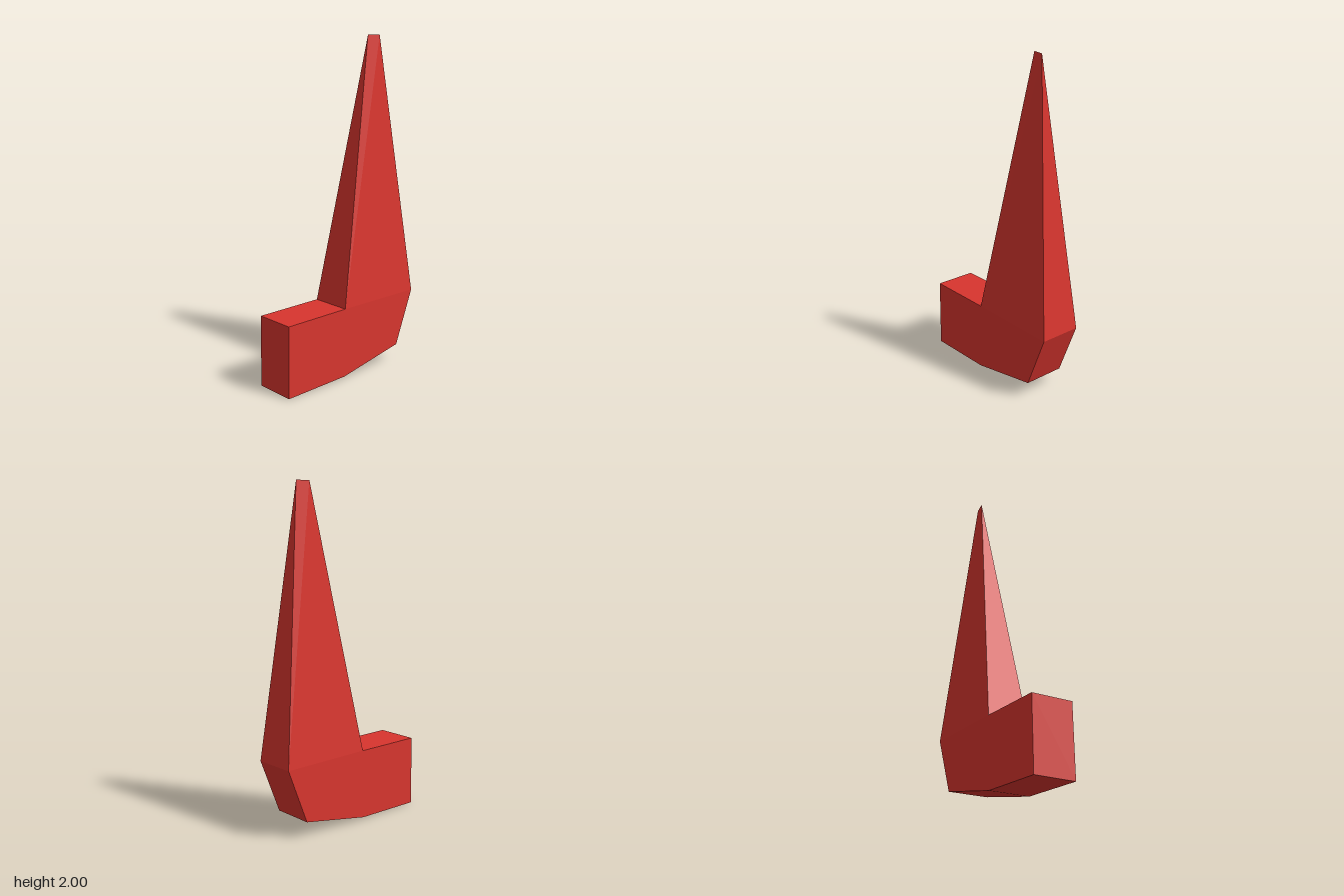
import * as THREE from 'three';

const HALF_WIDTH = 0.126;

// side outline of the foot as [z, y], from the inner corner round to the heel
const FOOT = [[0.068, 0.43], [0.494, 0.425], [0.5, 0], [0.075, 0.012], [-0.37, 0.1], [-0.5, 0.43]];

function meshFrom(name, triangles, material) {
  const points = triangles.flat().map(p => new THREE.Vector3(...p));
  const geometry = new THREE.BufferGeometry().setFromPoints(points);
  geometry.computeVertexNormals();
  const mesh = new THREE.Mesh(geometry, material);
  mesh.name = name;
  return mesh;
}

export function createModel() {
  const red = new THREE.MeshStandardMaterial({ color: 0xd8352e, flatShading: true });
  red.name = 'red';

  const left = FOOT.map(([z, y]) => [HALF_WIDTH, y, z]);
  const right = FOOT.map(([z, y]) => [-HALF_WIDTH, y, z]);
  const heel = FOOT.length - 1;

  // foot: a band round the outline and a fan on each flat side
  const foot = [];
  for (let i = 0; i < heel; i++) {
    foot.push([right[i], right[i + 1], left[i + 1]], [right[i], left[i + 1], left[i]]);
    if (i > 0) {
      foot.push([left[0], left[i], left[i + 1]], [right[0], right[i + 1], right[i]]);
    }
  }

  // spike: tapers from the top of the foot to a short, slightly twisted ridge
  const tipFront = [-0.01, 2, -0.237];
  const tipBack = [0.008, 2, -0.316];
  const spike = [
    [right[0], left[0], tipFront],
    [left[heel], right[heel], tipBack],
    [left[0], left[heel], tipBack],
    [left[0], tipBack, tipFront],
    [right[heel], right[0], tipFront],
    [right[heel], tipFront, tipBack],
  ];

  const model = new THREE.Group();
  model.name = 'spikedFoot';
  const body = new THREE.Group();
  body.name = 'body';
  body.rotation.y = -0.042;
  body.add(meshFrom('foot', foot, red), meshFrom('spike', spike, red));
  model.add(body);
  return model;
}
